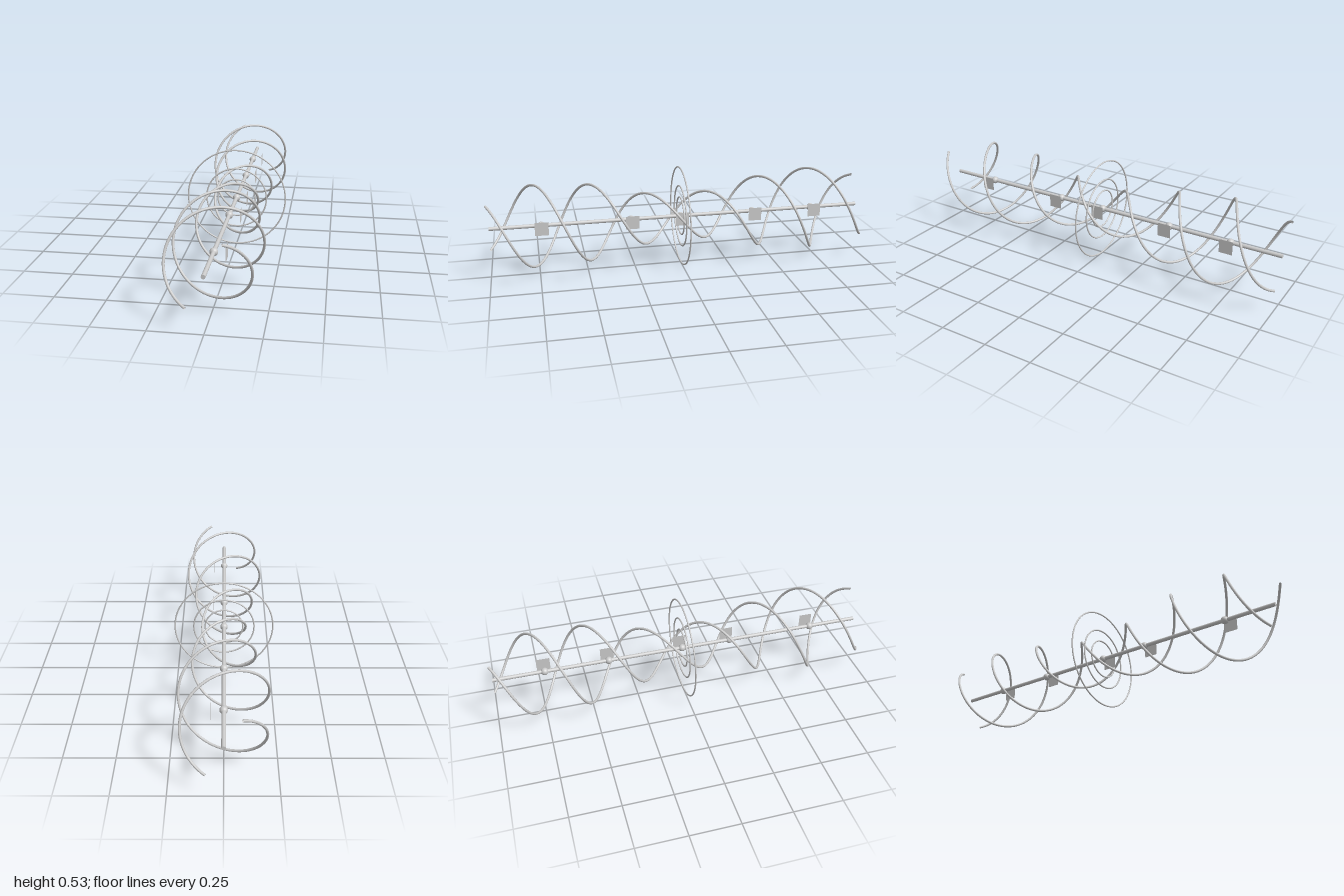
import * as THREE from 'three';

const AXIS_Y = 0.264;   // height of the central axis
const TWIST = 10.54;    // radians of turn per unit of z
const HALF = 0.996;     // half length of the strands

// Spiral whose radius swells and narrows along z
class SwellingHelix extends THREE.Curve {
  constructor(phase) {
    super();
    this.phase = phase;
  }
  getPoint(t, target = new THREE.Vector3()) {
    const z = (2 * t - 1) * HALF;
    const r = 0.165 - 0.05 * Math.cos((2 * Math.PI * z) / 1.34);
    const a = TWIST * z + this.phase;
    return target.set(r * Math.cos(a), r * Math.sin(a), z);
  }
}

export function createModel() {
  const model = new THREE.Group();
  const assembly = new THREE.Group();
  assembly.name = 'spiralAssembly';
  assembly.position.y = AXIS_Y;
  model.add(assembly);

  const grey = new THREE.MeshStandardMaterial({ color: 0xcccccc });
  const thin = new THREE.MeshStandardMaterial({ color: 0xcccccc, side: THREE.DoubleSide });

  const add = (name, geometry, material = grey) => {
    const mesh = new THREE.Mesh(geometry, material);
    mesh.name = name;
    assembly.add(mesh);
    return mesh;
  };

  // Central rod along z
  add('axisRod', new THREE.CylinderGeometry(0.01, 0.01, 1.988, 16).rotateX(Math.PI / 2));

  // Two opposite spiral strands
  [0, Math.PI].forEach((phase, i) =>
    add(`spiralStrand${i + 1}`, new THREE.TubeGeometry(new SwellingHelix(phase), 400, 0.0065, 10), thin));

  // Concentric rings around the middle
  [0.1, 0.16, 0.26].forEach((radius, i) =>
    add(`centreRing${i + 1}`, new THREE.TorusGeometry(radius, 0.004, 10, 96)));

  // Beads on the rod, each with a thin square tag beside it
  const bead = new THREE.SphereGeometry(0.0195, 24, 16);
  const tag = new THREE.PlaneGeometry(0.07, 0.07).rotateY(Math.PI / 2);
  [0.73, 0.265, 0, -0.396, -0.73].forEach((z, i) => {
    add(`bead${i + 1}`, bead).position.z = z;
    add(`tag${i + 1}`, tag, thin).position.set(0.058, 0, z);
  });

  return model;
}
